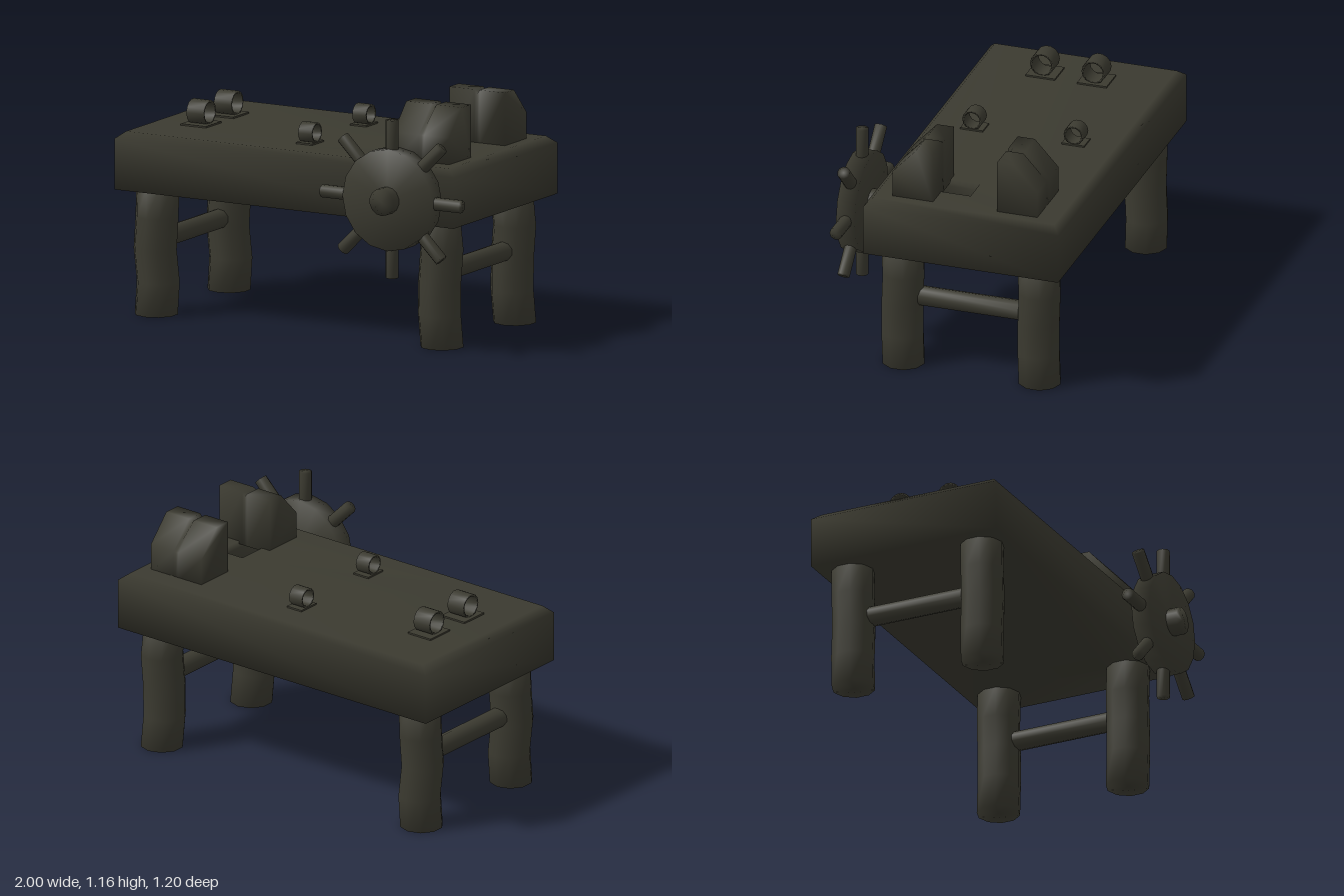
import * as THREE from 'three';
import { mergeVertices } from 'three/addons/utils/BufferGeometryUtils.js';

const wood = new THREE.MeshStandardMaterial({ color: 0x3b3a30 });
wood.name = 'dark weathered wood';

// Weld corners so shading runs smoothly over the edges
function smooth(geo) {
  geo.deleteAttribute('uv');
  geo.deleteAttribute('normal');
  const welded = mergeVertices(geo, 1e-4);
  welded.computeVertexNormals();
  return welded;
}

// Move every vertex by a rule
function bend(geo, rule) {
  const p = geo.attributes.position, v = new THREE.Vector3();
  for (let i = 0; i < p.count; i++) {
    rule(v.fromBufferAttribute(p, i));
    p.setXYZ(i, v.x, v.y, v.z);
  }
  return geo;
}

const poly = (pts) => pts.map(([x, y]) => new THREE.Vector2(x, y));

export function createModel() {
  const model = new THREE.Group();
  model.name = 'rackTable';
  const add = (name, geo, x = 0, y = 0, z = 0, parent = model) => {
    const m = new THREE.Mesh(geo, wood);
    m.name = name;
    m.position.set(x, y, z);
    parent.add(m);
    return m;
  };

  // Table slab with a chamfered top rim and a slot above the axle
  const outline = new THREE.Shape(poly([[-1, -0.395], [0.893, -0.395], [0.893, 0.6], [-1, 0.6]]));
  outline.holes.push(new THREE.Path(poly([[0.54, -0.17], [0.54, 0.08], [0.68, 0.08], [0.68, -0.17]])));
  const slab = new THREE.ExtrudeGeometry(outline, { depth: 0.285, steps: 2, bevelEnabled: false });
  bend(slab, (v) => {
    if (v.z > 0.2) {
      if (v.x < -0.99) v.x += 0.045;
      if (v.x > 0.89) v.x -= 0.045;
      if (v.y < -0.39) v.y += 0.035;
      if (v.y > 0.59) v.y -= 0.035;
    } else if (v.z > 0.1) v.z = 0.25;
  });
  slab.rotateX(-Math.PI / 2);
  add('tableTop', smooth(slab), 0, 0.62, 0);
  add('slotFloor', new THREE.BoxGeometry(0.14, 0.1, 0.25), 0.61, 0.67, 0.045);

  // Legs, slightly uneven like rough timber, and a bar joining each pair
  for (const x of [-0.85, 0.733]) {
    for (const z of [0.247, -0.447]) {
      const leg = new THREE.CylinderGeometry(0.106, 0.106, 0.64, 10, 4);
      bend(leg, (v) => {
        const wave = Math.sin(v.y * 14 + x * 5 + z * 9) * 0.006;
        v.x += wave;
        v.z -= wave;
      });
      add('leg', smooth(leg), x, 0.32, z);
    }
    const bar = new THREE.CylinderGeometry(0.049, 0.049, 0.54, 10);
    add('crossBar', smooth(bar.rotateX(Math.PI / 2)), x, 0.362, -0.1);
  }

  // Pair of sloped bearing blocks with a small notch across the top
  const xs = [-0.155, -0.015, 0, 0.015, 0.155];
  for (const back of [false, true]) {
    const profile = [[0.07, 0.89], [0.277, 0.89], [0.277, 1.035], [0.157, 1.165], [0.07, 1.165]];
    const shape = new THREE.Shape(poly(profile.map(([z, y]) => [back ? -0.185 - z : z, y])));
    const block = new THREE.ExtrudeGeometry(shape, { depth: 4, steps: 4, bevelEnabled: false });
    bend(block, (v) => {
      const step = Math.round(v.z);
      if (step === 2 && v.y > 1.1) v.y -= 0.02;
      v.z = xs[step];
    });
    add(back ? 'backBlock' : 'frontBlock', smooth(block.rotateY(-Math.PI / 2)), 0.645, 0, 0);
  }

  // Spoked wheel on its axle
  const wheel = new THREE.Group();
  wheel.name = 'wheel';
  wheel.position.set(0.61, 0.757, 0.497);
  model.add(wheel);
  const disc = new THREE.CylinderGeometry(0.25, 0.25, 0.095, 16);
  add('wheelDisc', smooth(disc.rotateX(Math.PI / 2)), 0, 0, 0, wheel);
  const axle = new THREE.CylinderGeometry(0.067, 0.067, 0.675, 14);
  add('axle', smooth(axle.rotateX(Math.PI / 2)), 0, 0, -0.235, wheel);
  for (let i = 0; i < 8; i++) {
    const spoke = new THREE.CylinderGeometry(0.032, 0.032, 0.2, 10);
    spoke.translate(0, 0.288, 0);
    add('spoke', smooth(spoke), 0, 0, 0, wheel).rotation.z = i * Math.PI / 4;
  }

  // Shackle rings on thin base plates: x, z, radius, ring width, plate size
  const shackles = [
    [-0.73, 0.028, 0.06, 0.095, 0.14, 0.15],
    [-0.73, -0.235, 0.06, 0.095, 0.14, 0.15],
    [-0.05, 0.152, 0.05, 0.075, 0.09, 0.115],
    [-0.05, -0.365, 0.05, 0.075, 0.09, 0.115],
  ];
  for (const [x, z, r, w, px, pz] of shackles) {
    const h = w / 2, q = r - 0.011;
    const ring = new THREE.LatheGeometry(poly([[q, -h], [r, -h], [r, h], [q, h], [q, -h]]), 14);
    add('shackleRing', smooth(ring.rotateZ(Math.PI / 2)), x, 0.907 + r, z);
    add('shacklePlate', new THREE.BoxGeometry(px, 0.012, pz), x, 0.907, z);
  }
  return model;
}
